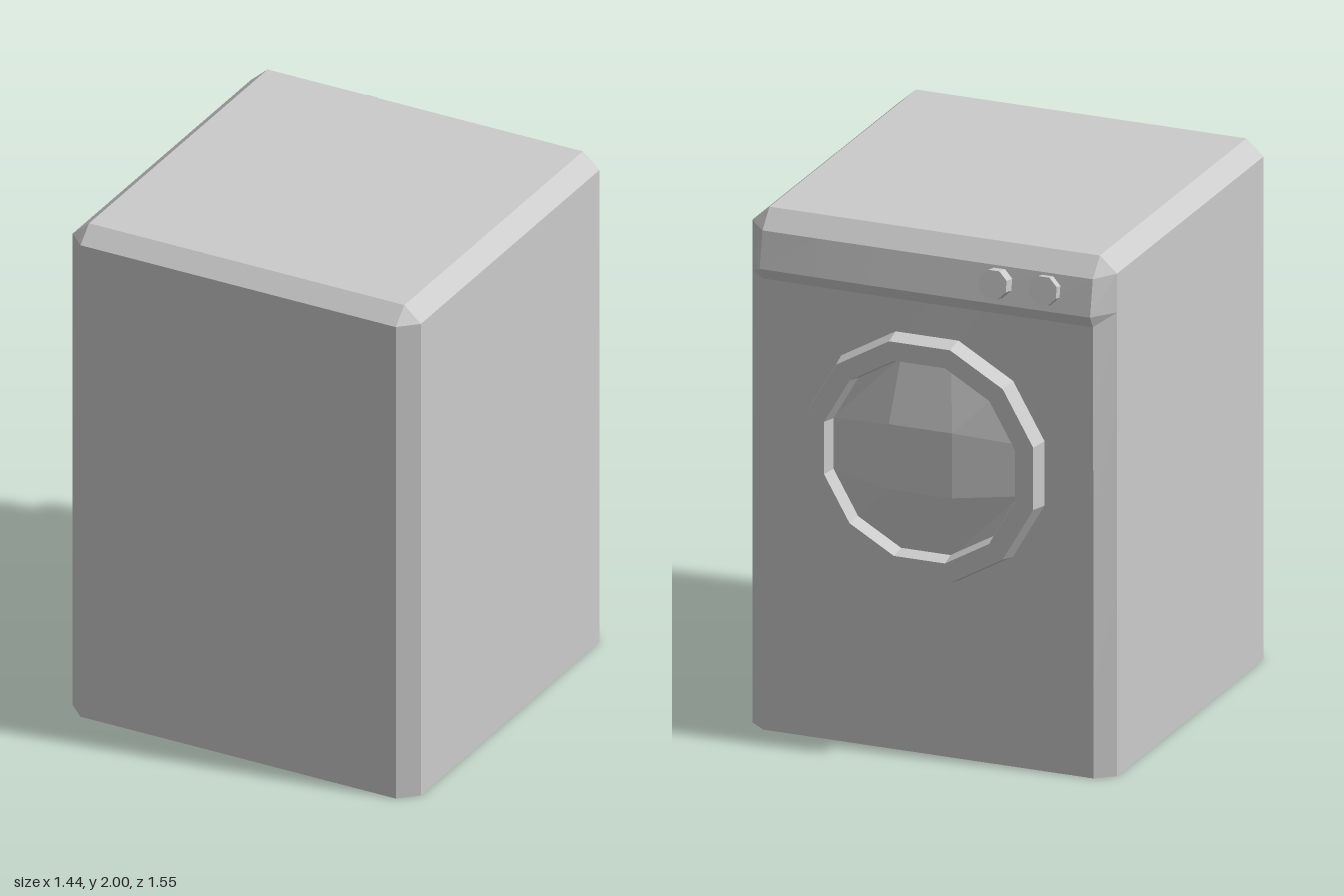
import * as THREE from 'three';

const grey = new THREE.MeshStandardMaterial({ color: 0xcccccc, flatShading: true });

function part(name, geometry) {
  const mesh = new THREE.Mesh(geometry, grey);
  mesh.name = name;
  return mesh;
}

// Stacked cross-sections: chamfered rectangle whose door side (-z) bulges slightly
function cabinetGeometry() {
  const X = 0.72, x = 0.652, zFront = 0.775, zIn = 0.71, zDoor = -0.635, cols = 6;
  // [height, z of door side]
  const levels = [[0, -0.692], [0.35, -0.692], [0.7, -0.694], [1.05, -0.695],
    [1.4, -0.697], [1.745, -0.7], [1.79, -0.725], [1.93, -0.7]];

  const loops = levels.map(([y, z]) => {
    const bulgeY = y < 1.745 ? 0.016 * Math.sin(Math.PI * y / 1.745) : y < 1.9 ? 0.004 : 0;
    const loop = [];
    for (let i = 0; i <= cols; i++) {
      const u = 1 - 2 * i / cols;
      loop.push([x * u, y, z - bulgeY * (1 - u * u)]);
    }
    const yc = y > 1.9 ? 1.94 : y;
    loop.push([-X, yc, zDoor], [-X, yc, zIn], [-x, yc, zFront],
      [x, yc, zFront], [X, yc, zIn], [X, yc, zDoor]);
    return loop;
  });
  // Top rectangle: every chamfer closes into a corner
  loops.push(loops[0].map(([px, , pz]) => [
    THREE.MathUtils.clamp(px, -x, x), 2, THREE.MathUtils.clamp(pz, zDoor, zIn)]));

  const n = loops[0].length, index = [];
  const positions = loops.flat(2);
  for (let r = 0; r < loops.length - 1; r++) {
    for (let i = 0; i < n; i++) {
      const a = r * n + i, b = r * n + (i + 1) % n;
      index.push(a, b, b + n, a, b + n, a + n);
    }
  }
  // Bottom and top caps
  const bottom = loops.length * n, top = bottom + 1, last = (loops.length - 1) * n;
  positions.push(0, 0, 0, 0, 2, 0);
  for (let i = 0; i < n; i++) {
    const j = (i + 1) % n;
    index.push(bottom, j, i, top, last + i, last + j);
  }
  const g = new THREE.BufferGeometry();
  g.setAttribute('position', new THREE.Float32BufferAttribute(positions, 3));
  g.setIndex(index);
  g.computeVertexNormals();
  return g;
}

// Twelve-sided ring with a slightly tapered outside, facing -z
function doorRingGeometry() {
  const profile = [[0.48, 0], [0.465, 0.07], [0.39, 0.07], [0.375, 0]]
    .map(([r, h]) => new THREE.Vector2(r, h));
  return new THREE.LatheGeometry(profile, 12, Math.PI / 12).rotateX(-Math.PI / 2);
}

// 3 x 3 grid rounded to a twelve-sided rim, with its inner points pushed out
function doorGlassGeometry() {
  const R = 0.383, g = new THREE.PlaneGeometry(2, 2, 3, 3), p = g.attributes.position;
  for (let i = 0; i < p.count; i++) {
    const u = p.getX(i), v = p.getY(i);
    const rim = Math.max(Math.abs(u), Math.abs(v)) > 0.9;
    if (rim) {
      const angle = Math.abs(u) >= Math.abs(v)
        ? Math.atan2(0, u) + Math.sign(u) * v * Math.PI / 4
        : Math.sign(v) * Math.PI / 2 - Math.sign(v) * u * Math.PI / 4;
      p.setXYZ(i, R * Math.cos(angle), R * Math.sin(angle), 0);
    } else {
      p.setXYZ(i, u * R * 0.98, v * R * 0.98, 0.05);
    }
  }
  g.computeVertexNormals();
  return g.rotateY(Math.PI);
}

export function createModel() {
  const model = new THREE.Group();
  model.name = 'washingMachine';
  model.add(part('cabinet', cabinetGeometry()));

  // Door
  const door = new THREE.Group();
  door.name = 'door';
  const ring = part('doorRing', doorRingGeometry());
  ring.position.z = -0.705;
  const glass = part('doorGlass', doorGlassGeometry());
  glass.position.z = -0.715;
  door.add(ring, glass);
  door.position.y = 1.155;
  model.add(door);

  // Control knobs, square to the sloping panel
  const tilt = Math.atan2(0.025, 0.14);
  [[-0.475, 0.035], [-0.285, 0.053]].forEach(([x, reach], i) => {
    const length = reach + 0.03;
    const knob = part('knob' + (i + 1), new THREE.CylinderGeometry(0.057, 0.057, length, 8)
      .translate(0, length / 2 - 0.03, 0).rotateY(Math.PI / 8));
    knob.position.set(x, 1.868, -0.712);
    knob.rotation.x = -Math.PI / 2 + tilt;
    model.add(knob);
  });
  return model;
}
